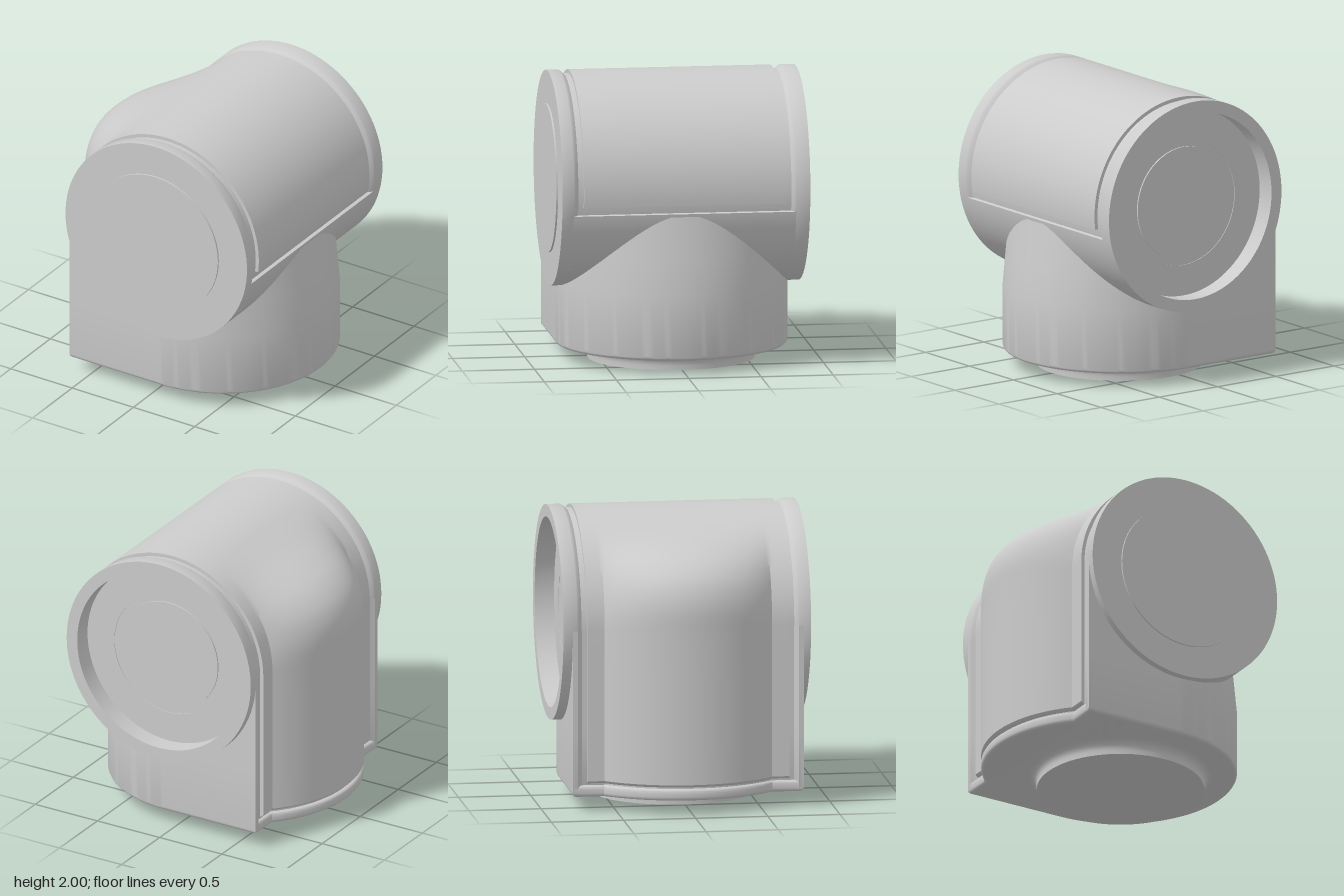
import * as THREE from 'three';
import { toCreasedNormals } from 'three/addons/utils/BufferGeometryUtils.js';

const CX = 0.09, CY = 1.26, R = 0.74; // axis and radius of the horizontal housing
const mat = new THREE.MeshStandardMaterial({ color: 0xcccccc });

// Surface through rows of points
function loft(rows) {
  const n = rows[0].length, index = [];
  for (let r = 0; r < rows.length - 1; r++) {
    for (let c = 0; c < n - 1; c++) {
      const a = r * n + c, b = a + n;
      index.push(a, b, b + 1, a, b + 1, a + 1);
    }
  }
  const geo = new THREE.BufferGeometry();
  geo.setAttribute('position', new THREE.Float32BufferAttribute(rows.flat(2), 3));
  geo.setIndex(index);
  geo.computeVertexNormals();
  return geo;
}

// Base outline in (x, z): round on +x, square on -x, with a step for the cover seam
function outline(d) {
  const half = [];
  for (let i = 0; i <= 40; i++) {
    const a = (i / 40) * Math.PI / 2;
    half.push([CX + (0.8 - d) * Math.cos(a), (0.8 - d) * Math.sin(a)]);
  }
  for (let i = 1; i <= 20; i++) half.push([CX - (0.74 - d) * i / 20, 0.8 - d]);
  half.push([-0.65 + d, 0.765], [-0.625 + d, 0.735]);
  const mirrored = half.map(([x, z]) => [x, -z]).reverse();
  return [...half, ...mirrored];
}

function baseGeometry() {
  const ring = (d, y) => outline(d).map(([x, z]) => [x, y, z]);
  const rows = [outline(0).map(() => [0, 0.1, 0])];
  for (let i = 0; i <= 5; i++) {
    const a = (i / 5) * Math.PI / 2;
    rows.push(ring(0.03 * (1 - Math.sin(a)), 0.13 - 0.03 * Math.cos(a)));
  }
  // straight wall, then a taper on +x, ending just inside the housing
  const upper = (limit) => outline(0).map(([x, z]) => {
    const dx = x - CX;
    const top = CY - Math.sqrt(Math.max(0, 0.49 - dx * dx));
    const y = Math.min(limit, top, dx > 0 ? 1.09 : CY);
    const k = dx > 0 ? 1 - Math.max(0, y - 0.55) * 0.174 : 1;
    return [CX + dx * k, y, z];
  });
  rows.push(upper(0.55), upper(0.8), upper(2));
  return loft(rows);
}

function coverGeometry() {
  // profile of the bulge crest (s) and of the plain cover (b)
  const s = [], b = [];
  const add = (sx, sy, bx, by) => { s.push([sx, sy]); b.push([bx, by]); };
  add(-0.86, 0.13, -0.62, 0.13);
  add(-0.86, 0.19, -0.62, 0.19);
  add(-0.88, 0.2, -0.64, 0.2);
  for (const y of [0.21, 0.5, 0.9]) add(-0.89, y, -0.65, y);
  const crest = new THREE.SplineCurve([
    [-0.89, 1.26], [-0.89, 1.42], [-0.865, 1.54], [-0.81, 1.64],
    [-0.71, 1.73], [-0.57, 1.8], [-0.38, 1.87], [-0.2, 1.94],
  ].map(([x, y]) => new THREE.Vector2(x, y)));
  for (const p of crest.getPoints(42)) {
    const a = Math.atan2(p.y - CY, p.x - CX);
    add(p.x, p.y, CX + R * Math.cos(a), CY + R * Math.sin(a));
  }
  const a0 = Math.atan2(1.94 - CY, -0.2 - CX), a1 = -0.122;
  const arc = (a, r) => {
    const x = CX + r * Math.cos(a), y = CY + r * Math.sin(a);
    add(x, y, x, y);
  };
  for (let i = 1; i <= 50; i++) arc(a0 + (a1 - a0) * i / 50, R);
  arc(a1, 0.7);

  const row = (z, sunk) => {
    const t = Math.max(0, (-0.65 + 0.07 + Math.sqrt(0.6724 - z * z)) / 0.24);
    return b.map(([x, y], i) => {
      let px = x + t * (s[i][0] - x), py = y + t * (s[i][1] - y);
      if (sunk) {
        px = CX + (px - CX) * 0.95;
        if (py > CY) py = CY + (py - CY) * 0.95;
      }
      return [px, py, z];
    });
  };
  const rows = [row(-0.7, true)];
  for (let i = 0; i <= 70; i++) rows.push(row(-0.7 + 0.02 * i, false));
  rows.push(row(0.7, true));
  return loft(rows);
}

export function createModel() {
  const group = new THREE.Group();
  const add = (name, geo, crease = 0.5) => {
    const mesh = new THREE.Mesh(toCreasedNormals(geo, crease), mat);
    mesh.name = name;
    group.add(mesh);
    return mesh;
  };
  const lathe = (pts) => new THREE.LatheGeometry(pts.map(([r, y]) => new THREE.Vector2(r, y)), 96);

  // horizontal housing: recessed back, two seam grooves, raised front disc
  const housing = lathe([
    [0, -0.735], [0.395, -0.735], [0.395, -0.725], [0.44, -0.725], [0.44, -0.73],
    [0.655, -0.73], [0.655, -0.865], [R, -0.865], [R, -0.77], [0.733, -0.757], [0.715, -0.737],
    [0.715, 0.737], [0.733, 0.757], [R, 0.77], [R, 0.85], [0.51, 0.85], [0.51, 0.862], [0, 0.862],
  ]);
  housing.rotateX(Math.PI / 2);
  add('housing', housing).position.set(CX, CY, 0);

  // full-radius underside of the housing, below the cover's edge
  const under = new THREE.Shape();
  under.absarc(0, 0, R, -0.204, -2.7, true);
  under.absarc(0, 0, 0.7, -2.7, -0.204, false);
  const underGeo = new THREE.ExtrudeGeometry(under, { depth: 1.54, bevelEnabled: false, curveSegments: 60 });
  add('housingUnderside', underGeo).position.set(CX, CY, -0.77);

  add('cover', coverGeometry(), 0.6);
  add('base', baseGeometry());

  // lip below the bulging cover
  const lip = new THREE.Shape();
  lip.moveTo(-0.3, -0.79);
  lip.lineTo(-0.65, -0.79);
  lip.lineTo(-0.65, -0.585);
  lip.absarc(-0.07, 0, 0.82, Math.PI + 0.794, Math.PI - 0.794, true);
  lip.lineTo(-0.65, 0.79);
  lip.lineTo(-0.3, 0.79);
  const lipGeo = new THREE.ExtrudeGeometry(lip, {
    depth: 0.03, bevelThickness: 0.025, bevelSize: 0.025, bevelOffset: -0.025, bevelSegments: 4, curveSegments: 40,
  });
  lipGeo.rotateX(Math.PI / 2);
  add('baseLip', lipGeo).position.y = 0.155;

  // round foot with a fillet into the base
  const foot = [[0, 0], [0.575, 0], [0.575, 0.03]];
  for (let i = 1; i <= 6; i++) {
    const a = (i / 6) * Math.PI / 2;
    foot.push([0.645 - 0.07 * Math.cos(a), 0.03 + 0.07 * Math.sin(a)]);
  }
  add('foot', lathe(foot)).position.x = CX;

  return group;
}
